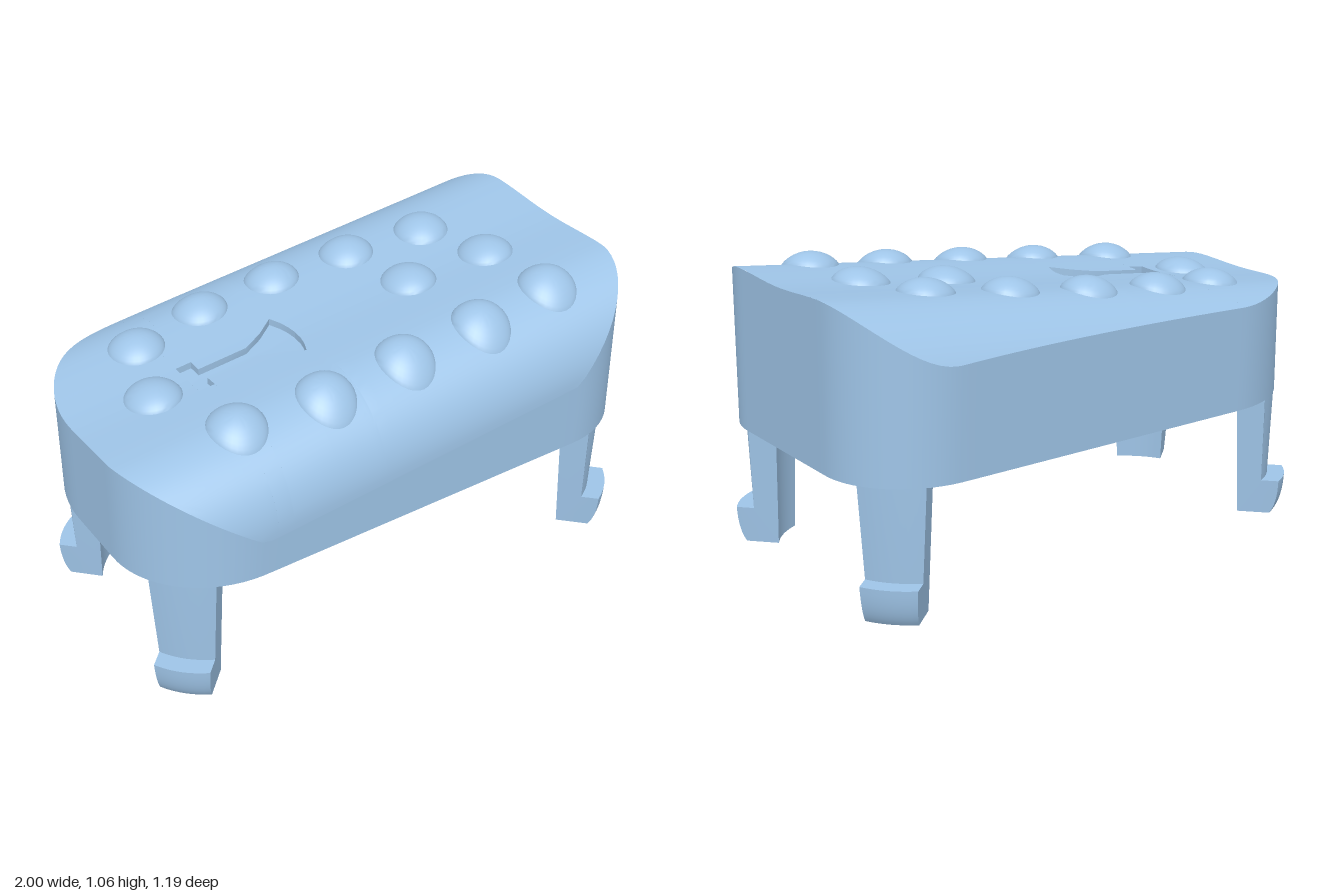
import * as THREE from 'three';
import { toCreasedNormals } from 'three/addons/utils/BufferGeometryUtils.js';

const RIM = 0.465; // height of the lower rim
const MARK_Z = 0.02; // centre line of the recessed horn mark

// Height of the sloping top: slight dip in the middle, rounded front and back
function topY(x, z) {
  let y = 0.95 + 0.09 * x;
  const round = (d, r) => r - Math.sqrt(Math.max(0, r * r - d * d));
  if (z > 0.29) y -= round(z - 0.29, 0.3);
  else if (z < -0.3) y -= round(-0.3 - z, 0.36);
  if (Math.abs(z) < 0.3) y -= 0.012 * Math.cos((z * Math.PI) / 0.6) ** 2;
  return y;
}

// Plan outline: front and back edge for each x, with elliptical corners
function corner(x, leftRx, leftRz, rightRx, rightRz) {
  const left = Math.max(0, (leftRx - 1 - x) / leftRx);
  const right = Math.max(0, (x - 1 + rightRx) / rightRx);
  const cut = (t, r) => r * (1 - Math.sqrt(Math.max(0, 1 - t * t)));
  return cut(left, leftRz) + cut(right, rightRz);
}
const frontZ = (x) => 0.59 - corner(x, 0.38, 0.35, 0.32, 0.31);
const backZ = (x) => -0.541 - 0.09 * x + corner(x, 0.43, 0.44, 0.34, 0.33);

// Surface through rows of points, each row with the same count
function grid(rows, crease = 0.6) {
  const n = rows[0].length;
  const index = [];
  for (let i = 0; i < rows.length - 1; i++) {
    for (let j = 0; j < n - 1; j++) {
      const a = i * n + j;
      index.push(a, a + 1, a + n, a + 1, a + n + 1, a + n);
    }
  }
  const g = new THREE.BufferGeometry();
  g.setAttribute('position', new THREE.Float32BufferAttribute(rows.flat(2), 3));
  g.setIndex(index);
  return toCreasedNormals(g, crease);
}

// Row of points at x from z0 to z1, denser towards the outer edge
function row(x, z0, z1, steps, height, outerFirst = false) {
  return Array.from({ length: steps + 1 }, (_, j) => {
    const t = j / steps;
    const s = outerFirst ? 1 - Math.cos((t * Math.PI) / 2) : Math.sin((t * Math.PI) / 2);
    const z = z0 + (z1 - z0) * s;
    return [x, height(x, z), z];
  });
}

export function createModel() {
  const model = new THREE.Group();
  const blue = new THREE.MeshStandardMaterial({ color: 0x9fc5e8 });
  blue.name = 'light blue';
  const add = (name, geometry, parent = model) => {
    const mesh = new THREE.Mesh(geometry, blue);
    mesh.name = name;
    parent.add(mesh);
    return mesh;
  };

  // Horn mark: half width at each x
  const mark = [
    [-0.57, 0], [-0.57, 0.08], [-0.51, 0.08], [-0.51, 0.03], [-0.32, 0.03],
    [-0.24, 0.07], [-0.17, 0.12], [-0.153, 0.08], [-0.143, 0.04], [-0.14, 0],
  ];
  const xs = Array.from({ length: 65 }, (_, i) => -Math.cos((i * Math.PI) / 64));
  const columns = xs.filter((x) => x < -0.58 || x > -0.13).map((x) => [x, 0]);
  columns.push(...mark);
  // Stable sort keeps the doubled columns of the mark in order
  columns.sort((a, b) => a[0] - b[0]);

  // Top surface in two halves, leaving the mark open
  add('topFront', grid(columns.map(([x, h]) => row(x, MARK_Z + h, frontZ(x), 28, topY))));
  add('topBack', grid(columns.map(([x, h]) => row(x, backZ(x), MARK_Z - h, 28, topY, true))
    .map((r) => r)));

  // Recessed mark: floor and side walls
  const floorY = (x, z) => topY(x, z) - 0.025;
  add('markFloor', grid(mark.map(([x, h]) => row(x, MARK_Z - h, MARK_Z + h, 4, floorY))));
  for (const side of [1, -1]) {
    add('markWall', grid(mark.map(([x, h]) => {
      const z = MARK_Z + side * h;
      const wall = [[x, floorY(x, z), z], [x, topY(x, z), z]];
      return side > 0 ? wall : wall.reverse();
    })));
  }

  // Outline loop: front left to right, right end, back right to left, left end
  const loop = xs.map((x) => [x, frontZ(x)]);
  const end = (x, z0, z1) => {
    for (let i = 1; i < 16; i++) loop.push([x, z0 + ((z1 - z0) * i) / 16]);
  };
  end(1, frontZ(1), backZ(1));
  [...xs].reverse().forEach((x) => loop.push([x, backZ(x)]));
  end(-1, backZ(-1), frontZ(-1));
  loop.push(loop[0]);

  // Hollow skirt: outer wall, rim and inner wall
  const SX = 0.94, SZ = 0.9;
  const ceilingY = (x, z) => topY(x, z) - 0.07;
  add('skirt', grid(loop.map(([x, z]) => [
    [x, topY(x, z), z], [x, RIM, z],
    [x * SX, RIM, z * SZ], [x * SX, ceilingY(x * SX, z * SZ), z * SZ],
  ])));
  add('ceiling', grid(xs.map((x) => Array.from({ length: 33 }, (_, j) => {
    const z = SZ * THREE.MathUtils.lerp(frontZ(x), backZ(x), j / 32);
    return [x * SX, ceilingY(x * SX, z), z];
  }))));

  // Round post under the top
  const post = add('post', new THREE.CylinderGeometry(0.21, 0.21, 0.3, 48));
  post.position.set(0.05, 0.728, 0);

  // Grip domes that follow the top surface
  const domes = [
    [-0.62, -0.245], [-0.335, -0.3], [-0.035, -0.3], [0.265, -0.265], [0.565, -0.215],
    [-0.705, 0.025], [0.345, 0.015], [0.665, 0.045],
    [-0.57, 0.34], [-0.25, 0.38], [0.07, 0.38], [0.39, 0.38], [0.7, 0.355],
  ];
  for (const [cx, cz] of domes) {
    const rz = cz > 0.3 ? 0.113 : 0.103;
    const rows = [];
    for (let i = 0; i <= 32; i++) {
      const a = (-i / 32) * Math.PI * 2;
      rows.push(Array.from({ length: 9 }, (_, j) => {
        const r = Math.sin((j / 8) * Math.PI / 2);
        const x = cx + 0.1 * r * Math.cos(a), z = cz + rz * r * Math.sin(a);
        return [x, topY(x, z) - 0.003 + 0.05 * (1 - r * r) ** 0.7, z];
      }));
    }
    add('gripDome', grid(rows, 1));
  }

  // Clip leg: hooked profile (outward, up), swept across, tapering downwards
  const profile = new THREE.Shape();
  profile.moveTo(-0.1, 0);
  profile.lineTo(0.02, 0);
  profile.quadraticCurveTo(0.05, 0.04, 0.053, 0.13);
  profile.lineTo(-0.012, 0.13);
  profile.lineTo(0, RIM);
  profile.lineTo(0, 0.6);
  profile.lineTo(-0.11, 0.6);
  profile.closePath();
  const leg = new THREE.ExtrudeGeometry(profile, { depth: 1, steps: 8, bevelEnabled: false, curveSegments: 8 });
  const p = leg.attributes.position;
  for (let i = 0; i < p.count; i++) {
    const z = (p.getZ(i) - 0.5) * (0.18 + 0.11 * Math.min(p.getY(i), RIM));
    p.setZ(i, z);
    p.setX(i, p.getX(i) - 1.6 * z * z);
  }
  const legGeometry = toCreasedNormals(leg, 0.5);
  const legs = [
    ['frontLeftLeg', 0.885, 0.488], ['frontRightLeg', -0.885, 0.483],
    ['backLeftLeg', 0.878, -0.502], ['backRightLeg', -0.867, -0.337],
  ];
  for (const [name, x, z] of legs) {
    const mesh = add(name, legGeometry);
    mesh.position.set(x, 0, z);
    mesh.rotation.y = -Math.atan2(Math.sign(z), Math.sign(x));
  }

  return model;
}
